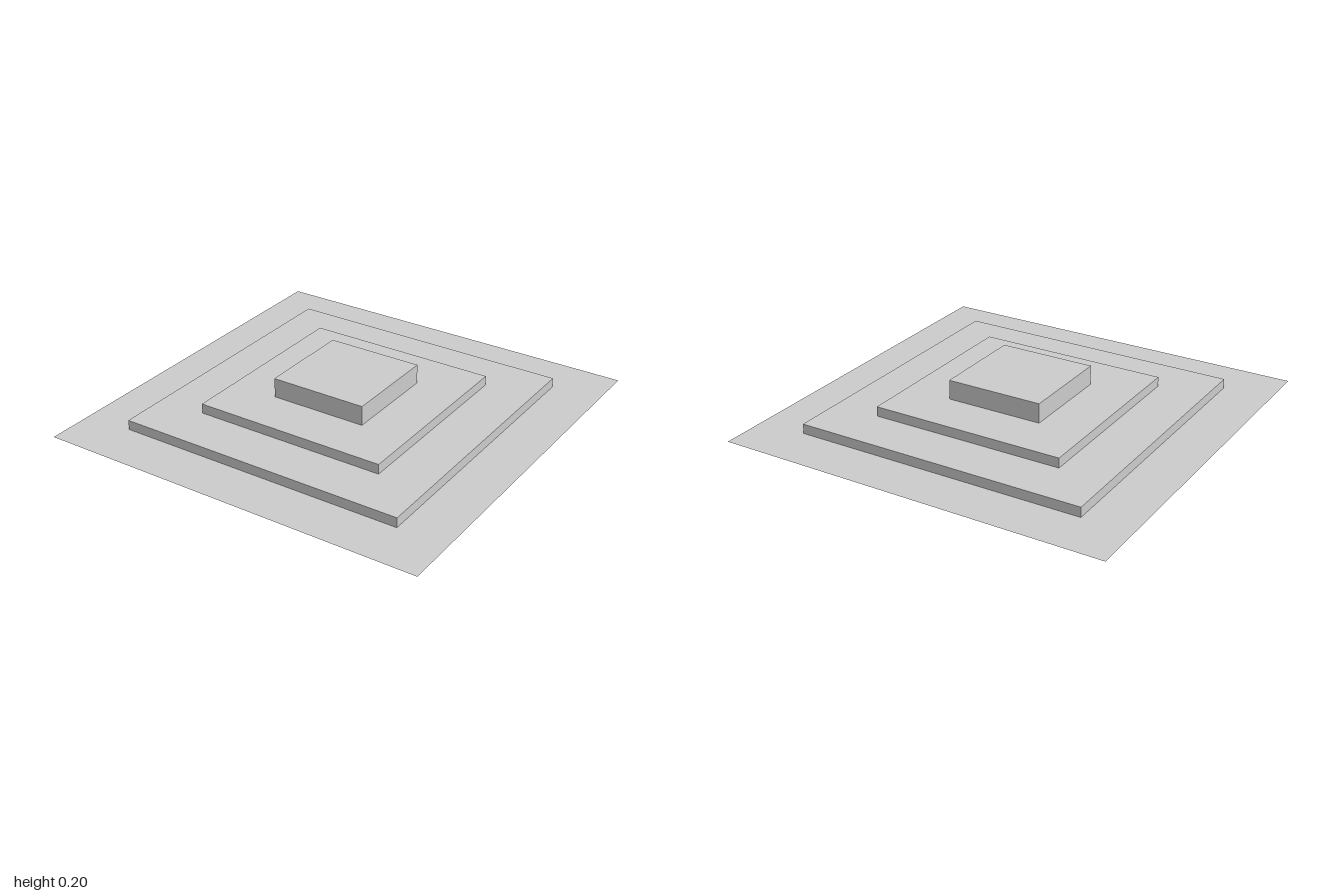
import * as THREE from 'three';

const material = new THREE.MeshStandardMaterial({ color: 0xcccccc, flatShading: true, side: THREE.DoubleSide });

function square(half, PathType) {
  return new PathType([[-1, -1], [1, -1], [1, 1], [-1, 1]].map(([x, y]) => new THREE.Vector2(x * half, y * half)));
}

export function createModel() {
  const model = new THREE.Group();
  model.name = 'steppedTerrain';

  const add = (geometry, name, y) => {
    const mesh = new THREE.Mesh(geometry, material);
    mesh.name = name;
    mesh.position.y = y;
    model.add(mesh);
  };

  // Each level: half width and height of its flat surface
  const levels = [
    { name: 'ground', half: 1, y: 0 },
    { name: 'lowerTerrace', half: 0.75, y: 0.05 },
    { name: 'upperTerrace', half: 0.5, y: 0.1 },
    { name: 'summit', half: 0.25, y: 0.2 },
  ];

  levels.forEach(({ name, half, y }, i) => {
    // Flat frame, open where the next level rises; the summit is closed
    const shape = square(half, THREE.Shape);
    const next = levels[i + 1];
    if (next) shape.holes.push(square(next.half, THREE.Path));
    add(new THREE.ShapeGeometry(shape).rotateX(-Math.PI / 2), name, y);

    // Four upright walls down to the level below, hollow inside
    if (i > 0) {
      const base = levels[i - 1].y;
      const radius = half * Math.SQRT2;
      const wall = new THREE.CylinderGeometry(radius, radius, y - base, 4, 1, true, Math.PI / 4);
      add(wall, name + 'Walls', (y + base) / 2);
    }
  });

  return model;
}
